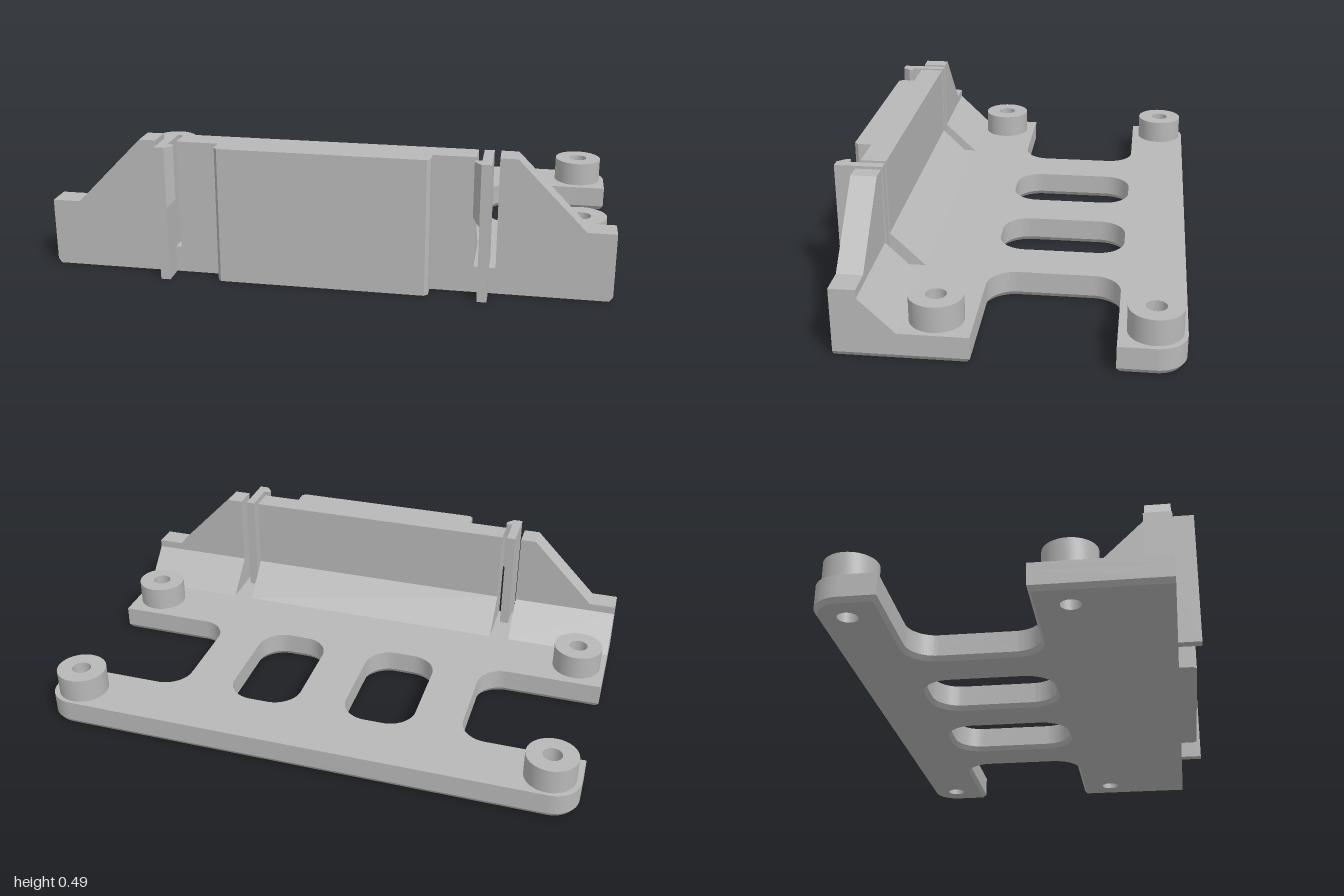
import * as THREE from 'three';
import { toCreasedNormals } from 'three/addons/utils/BufferGeometryUtils.js';

const PLATE_TOP = 0.095, TOP = 0.49, WALL_BACK = 0.44, WALL_FRONT = 0.53;
const HOLE_R = 0.035;
const bosses = [[-0.89, -0.505], [0.89, -0.505], [-0.89, 0.205], [0.89, 0.205]];

export function createModel() {
  const group = new THREE.Group();
  const grey = new THREE.MeshStandardMaterial({ color: 0xb8b8b8 });
  grey.name = 'grey plastic';

  const add = (name, geometry) => {
    const mesh = new THREE.Mesh(toCreasedNormals(geometry, 0.5), grey);
    mesh.name = name;
    group.add(mesh);
  };
  const polygon = (pts) => new THREE.Shape(pts.map(([x, y]) => new THREE.Vector2(x, y)));
  const extrude = (shape, depth, options = {}) =>
    new THREE.ExtrudeGeometry(shape, { depth, bevelEnabled: false, curveSegments: 12, ...options });
  // Plan shapes use (x, -z) and rise along y
  const plan = (shape, y0, y1) => extrude(shape, y1 - y0).rotateX(-Math.PI / 2).translate(0, y0, 0);
  // Side profiles use (-z, y) and run along x
  const side = (pts, x0, x1) =>
    extrude(polygon(pts.map(([z, y]) => [-z, y])), x1 - x0).rotateY(Math.PI / 2).translate(x0, 0, 0);

  // Base plate outline with a rounded notch on each side
  const plate = new THREE.Shape();
  const h = Math.PI / 2;
  plate.moveTo(-1, -WALL_FRONT);
  plate.lineTo(1, -WALL_FRONT);
  plate.lineTo(1, -0.08);
  plate.absarc(0.64, 0.02, 0.1, -h, -2 * h, true);
  plate.absarc(0.64, 0.285, 0.1, 2 * h, h, true);
  plate.lineTo(1, 0.385);
  plate.absarc(0.9, 0.51, 0.1, 0, h, false);
  plate.absarc(-0.9, 0.51, 0.1, h, 2 * h, false);
  plate.lineTo(-1, 0.385);
  plate.absarc(-0.64, 0.285, 0.1, h, 0, true);
  plate.absarc(-0.64, 0.02, 0.1, 0, -h, true);
  plate.lineTo(-1, -0.08);
  plate.closePath();

  // Two windows and four screw holes
  for (const cx of [-0.225, 0.225]) {
    const w = new THREE.Path();
    w.absarc(cx + 0.035, 0.285, 0.1, 0, h, false);
    w.absarc(cx - 0.035, 0.285, 0.1, h, 2 * h, false);
    w.absarc(cx - 0.035, 0.02, 0.1, 2 * h, 3 * h, false);
    w.absarc(cx + 0.035, 0.02, 0.1, 3 * h, 4 * h, false);
    w.closePath();
    plate.holes.push(w);
  }
  for (const [x, z] of bosses) {
    plate.holes.push(new THREE.Path().absarc(x, -z, HOLE_R, 0, 4 * h, false));
  }

  // Lower layer is chamfered underneath; its upper bevel sits inside the upper layer
  const lower = extrude(plate, 0.048, {
    bevelEnabled: true, bevelThickness: 0.017, bevelSize: 0.012, bevelOffset: -0.012, bevelSegments: 1,
  }).rotateX(-h).translate(0, 0.017, 0);
  const p = lower.attributes.position;
  for (let i = 0; i < p.count; i++) {
    if (p.getZ(i) > 0.5) p.setZ(i, WALL_FRONT); // front edge stays square
    for (const [x, z] of bosses) { // screw holes stay straight
      const dx = p.getX(i) - x, dz = p.getZ(i) - z, d = Math.hypot(dx, dz);
      if (d < 0.07) {
        p.setX(i, x + dx * HOLE_R / d);
        p.setZ(i, z + dz * HOLE_R / d);
      }
    }
  }
  add('basePlateLower', lower);
  add('basePlateUpper', plan(plate, 0.065, PLATE_TOP));

  // Screw bosses
  for (const [x, z] of bosses) {
    const ring = new THREE.Shape().absarc(x, -z, 0.092, 0, 4 * h, false);
    ring.holes.push(new THREE.Path().absarc(x, -z, HOLE_R, 0, 4 * h, false));
    add('screwBoss', extrude(ring, 0.092, { curveSegments: 24 }).rotateX(-h).translate(0, PLATE_TOP, 0));
  }

  // Centre wall with its sloped foot
  const foot = [[WALL_BACK, PLATE_TOP], [WALL_BACK, 0.215], [0.316, PLATE_TOP]];
  add('centreWall', side([[WALL_FRONT, PLATE_TOP], [WALL_FRONT, TOP], [WALL_BACK, TOP], [WALL_BACK, 0.215],
    [0.316, PLATE_TOP]], -0.524, 0.524));

  // Raised front pad with clipped corners
  add('frontPad', plan(polygon([[-0.374, -WALL_FRONT], [-0.374, -0.578], [-0.362, -0.592],
    [0.362, -0.592], [0.374, -0.578], [0.374, -WALL_FRONT]]), 0, TOP));

  for (const s of [-1, 1]) {
    const name = s > 0 ? 'left' : 'right';
    const span = (a, b) => (s > 0 ? [a, b] : [-b, -a]);

    // Sloped end wall and foot
    const end = [[0.6, PLATE_TOP], [1, PLATE_TOP], [1, 0.245], [0.9, 0.245], [0.66, TOP], [0.6, TOP]];
    add(name + 'EndWall', extrude(polygon(end.map(([x, y]) => [s * x, y])), WALL_FRONT - WALL_BACK)
      .translate(0, 0, WALL_BACK));
    add(name + 'EndFoot', side(foot, ...span(0.6, 1)));

    // Spring clip arm standing in its slot
    add(name + 'ClipArm', side([[WALL_BACK, PLATE_TOP], [WALL_FRONT, PLATE_TOP], [WALL_FRONT, 0],
      [0.61, 0], [0.61, TOP], [WALL_BACK, TOP]], ...span(0.543, 0.577)));

    // Hook at the clip tip, tapering at its lower end
    const hook = plan(polygon([[0.543, -0.565], [0.519, -0.565], [0.519, -0.582], [0.543, -0.61]]
      .map(([x, y]) => [s * x, y])), 0.27, TOP);
    const q = hook.attributes.position;
    for (let i = 0; i < q.count; i++) {
      if (q.getY(i) < 0.3 && Math.abs(q.getX(i)) < 0.53) q.setY(i, 0.295);
    }
    add(name + 'ClipHook', hook);
  }
  return group;
}
